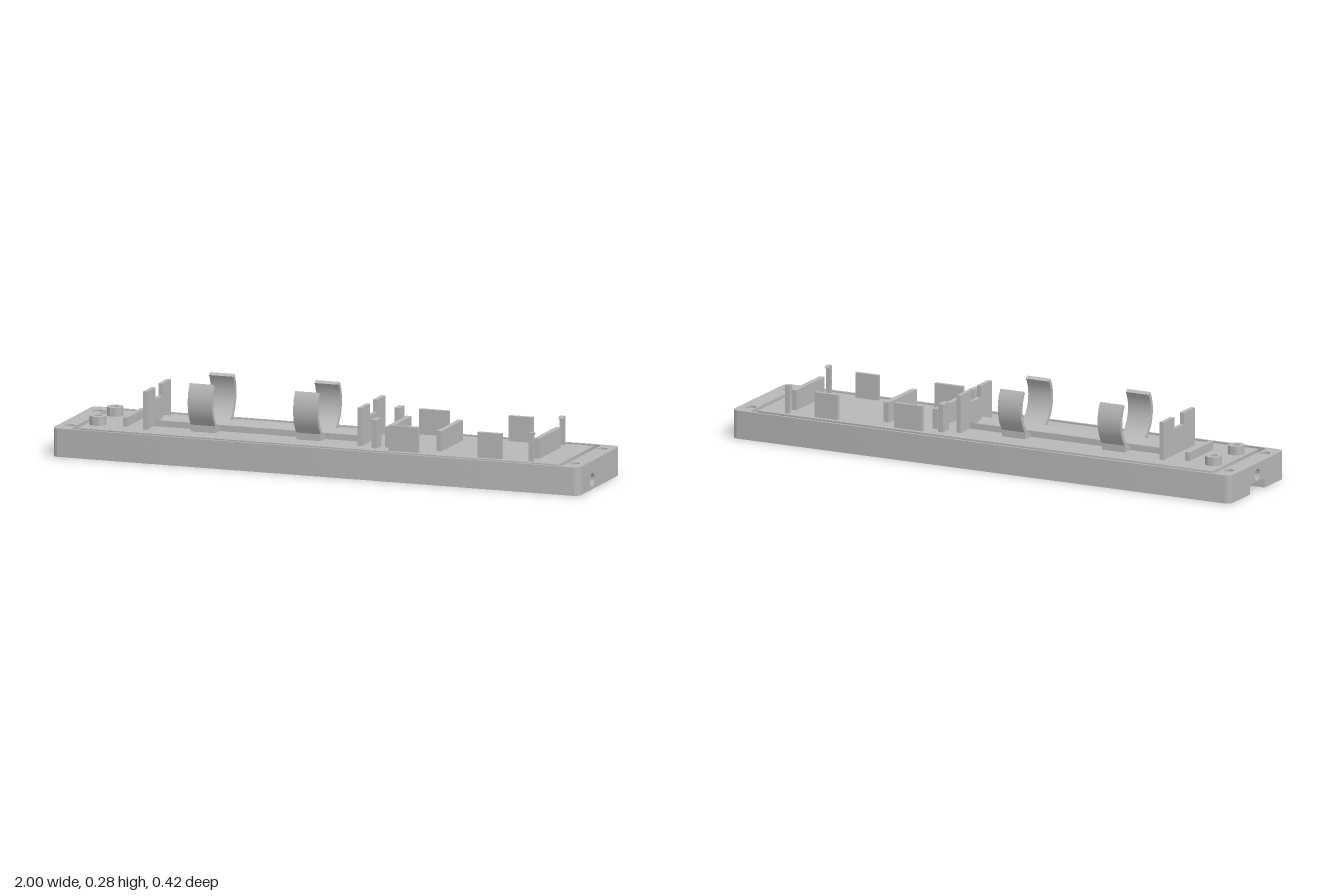
import * as THREE from 'three';
import { toCreasedNormals } from 'three/addons/utils/BufferGeometryUtils.js';

const grey = new THREE.MeshStandardMaterial({ color: 0xb8b8b8 });
grey.name = 'grey plastic';

const TOP = 0.103, GROOVE = 0.085, SLOT = 0.036;
const L = 1, W = 0.208, R = 0.025;
const HOLE_X = 0.957, HOLE_Z = 0.139;
const AXIS_Y = 0.213; // centre of the held cylinder

export function createModel() {
  const model = new THREE.Group();
  model.name = 'batteryTray';

  const add = (name, geometry) => {
    const mesh = new THREE.Mesh(geometry, grey);
    mesh.name = name;
    model.add(mesh);
    return mesh;
  };
  const extrude = (shape, depth) =>
    toCreasedNormals(new THREE.ExtrudeGeometry(shape, { depth, bevelEnabled: false, curveSegments: 20 }), 0.5);
  // plan outline (x, z) raised from y0 to y1
  const layer = (name, shape, y0, y1) =>
    add(name, extrude(shape, y1 - y0).rotateX(-Math.PI / 2).translate(0, y0, 0));
  // section (z, y) swept from x0 to x1
  const section = (name, shape, x0, x1) =>
    add(name, extrude(shape, x1 - x0).rotateY(-Math.PI / 2).translate(x1, 0, 0));
  const box = (name, x0, x1, y0, y1, z0, z1) =>
    add(name, new THREE.BoxGeometry(x1 - x0, y1 - y0, z1 - z0)
      .translate((x0 + x1) / 2, (y0 + y1) / 2, (z0 + z1) / 2));
  const polygon = (pts) => new THREE.Shape(pts.map(([a, b]) => new THREE.Vector2(a, b)));
  const circle = (x, y, r) => new THREE.Path().absarc(x, y, r, 0, Math.PI * 2, true);
  const roundRect = (w, h, r, Type = THREE.Shape) => {
    const s = new Type(), q = Math.PI / 2;
    s.absarc(w - r, h - r, r, 0, q);
    s.absarc(r - w, h - r, r, q, 2 * q);
    s.absarc(r - w, r - h, r, 2 * q, 3 * q);
    s.absarc(w - r, r - h, r, 3 * q, 4 * q);
    s.closePath();
    return s;
  };
  const corners = [[1, 1], [1, -1], [-1, 1], [-1, -1]];
  const cornerHoles = (shape, r) => {
    for (const [sx, sz] of corners) shape.holes.push(circle(sx * HOLE_X, sz * HOLE_Z, r));
    return shape;
  };

  // Base body, notched at each end for the bored end blocks
  const N = 0.11, E = 0.9, S = 0.055, q = Math.PI / 2;
  const footprint = (slot) => {
    const s = new THREE.Shape();
    s.moveTo(E, N);
    s.lineTo(L, N);
    s.absarc(L - R, W - R, R, 0, q);
    s.absarc(R - L, W - R, R, q, 2 * q);
    s.lineTo(-L, N);
    s.lineTo(-E, N);
    if (slot) for (const [x, z] of [[-E, S], [-0.2, S], [-0.2, -S], [-E, -S]]) s.lineTo(x, z);
    s.lineTo(-E, -N);
    s.lineTo(-L, -N);
    s.absarc(R - L, R - W, R, 2 * q, 3 * q);
    s.absarc(L - R, R - W, R, 3 * q, 4 * q);
    s.lineTo(L, -N);
    s.lineTo(E, -N);
    return s;
  };
  layer('baseBottom', cornerHoles(footprint(true), 0.034), 0, SLOT);
  layer('baseMiddle', cornerHoles(footprint(false), 0.019), SLOT, GROOVE);

  // End blocks with a cable hole each
  const rightEnd = polygon([[-N, 0], [N, 0], [N, GROOVE], [-N, GROOVE]]);
  rightEnd.holes.push(circle(0.073, 0.035, 0.024));
  section('leftEndBlock', rightEnd, E, L);
  const slotEnd = polygon([[-N, 0], [-S, 0], [-S, SLOT], [S, SLOT], [S, 0], [N, 0], [N, GROOVE], [-N, GROOVE]]);
  slotEnd.holes.push(circle(0, 0.061, 0.02));
  section('rightEndBlock', slotEnd, -L, -E);

  // Rim and floor with the seal groove between them
  const rim = cornerHoles(roundRect(L, W, R), 0.019);
  rim.holes.push(roundRect(0.933, 0.199, 0.02, THREE.Path));
  layer('rim', rim, GROOVE, TOP);
  layer('floor', roundRect(0.912, 0.178, 0.006), GROOVE, TOP);

  // Countersinks under the screw holes
  for (const [sx, sz] of corners) {
    const cone = new THREE.LatheGeometry(
      [new THREE.Vector2(0.019, SLOT), new THREE.Vector2(0.034, 0)], 32);
    // turn the faces inward
    const index = cone.index.array;
    for (let i = 0; i < index.length; i += 3) [index[i], index[i + 1]] = [index[i + 1], index[i]];
    cone.computeVertexNormals();
    // choose the winding that looks towards the hole axis
    const p = cone.attributes.position, n = cone.attributes.normal;
    if (p.getX(4) * n.getX(4) + p.getZ(4) * n.getZ(4) > 0) {
      for (let i = 0; i < index.length; i += 3) [index[i], index[i + 1]] = [index[i + 1], index[i]];
      cone.computeVertexNormals();
    }
    add('countersink', cone.translate(sx * HOLE_X, 0, sz * HOLE_Z));
  }

  // Concave cradle between the end stops
  const hollow = (halfWidth, r) => {
    const s = new THREE.Shape();
    const a = Math.acos(halfWidth / r);
    s.moveTo(-halfWidth, 0.095);
    s.lineTo(halfWidth, 0.095);
    s.absarc(0, AXIS_Y, r, -a, a - Math.PI, true);
    s.closePath();
    return s;
  };
  section('cradle', hollow(0.048, 0.1), -0.67, 0.13);

  // Spring clips and their supports
  const clip = new THREE.Shape();
  const tip = 0.58;
  clip.absarc(0, AXIS_Y, 0.124, Math.PI - tip, 2 * Math.PI + tip);
  clip.absarc(0, AXIS_Y, 0.109, 2 * Math.PI + tip, Math.PI - tip, true);
  clip.closePath();
  for (const x of [-0.47, -0.07]) {
    section('clip', clip, x - 0.046, x + 0.046);
    for (const s of [1, -1]) {
      const foot = polygon([[s * 0.048, 0.095], [s * 0.09, 0.095], [s * 0.09, 0.128], [s * 0.078, 0.128], [s * 0.048, 0.112]]);
      section('clipSupport', foot, x - 0.046, x + 0.046);
    }
  }

  // Notched end stops
  const stop = polygon([[-0.119, 0.1], [0.119, 0.1], [0.119, 0.241], [0.035, 0.241],
    [0.035, 0.198], [-0.035, 0.198], [-0.035, 0.241], [-0.119, 0.241]]);
  for (const x of [-0.679, 0.135]) section('endStop', stop, x - 0.008, x + 0.008);

  // Cross ribs
  box('lowRib', -0.775, -0.758, 0.1, 0.135, -0.09, 0.09);
  for (const x of [0.236, 0.432, 0.802]) box('crossRib', x - 0.01, x + 0.01, 0.1, 0.176, -0.108, 0.108);

  // Hollow screw posts
  const post = new THREE.Shape().absarc(0, 0, 0.03, 0, Math.PI * 2);
  post.holes.push(circle(0, 0, 0.013));

  // Latch arm with an inward hook
  const latch = (s) => polygon([[s * 0.162, 0.1], [s * 0.162, 0.207], [s * 0.144, 0.207],
    [s * 0.138, 0.199], [s * 0.149, 0.195], [s * 0.149, 0.1]]);

  for (const s of [1, -1]) {
    layer('screwPost', post, 0.1, 0.135).position.set(-0.87, 0, s * 0.086);
    const side = (name, x0, x1, y1, a, b) =>
      box(name, x0, x1, 0.1, y1, Math.min(s * a, s * b), Math.max(s * a, s * b));
    side('guideTab', 0.187, 0.207, 0.205, 0.093, 0.14);
    side('sidePlate', 0.26, 0.372, 0.195, 0.148, 0.162);
    side('sidePlate', 0.598, 0.69, 0.195, 0.148, 0.162);
    section('latch', latch(s), 0.791, 0.809);
  }

  return model;
}
